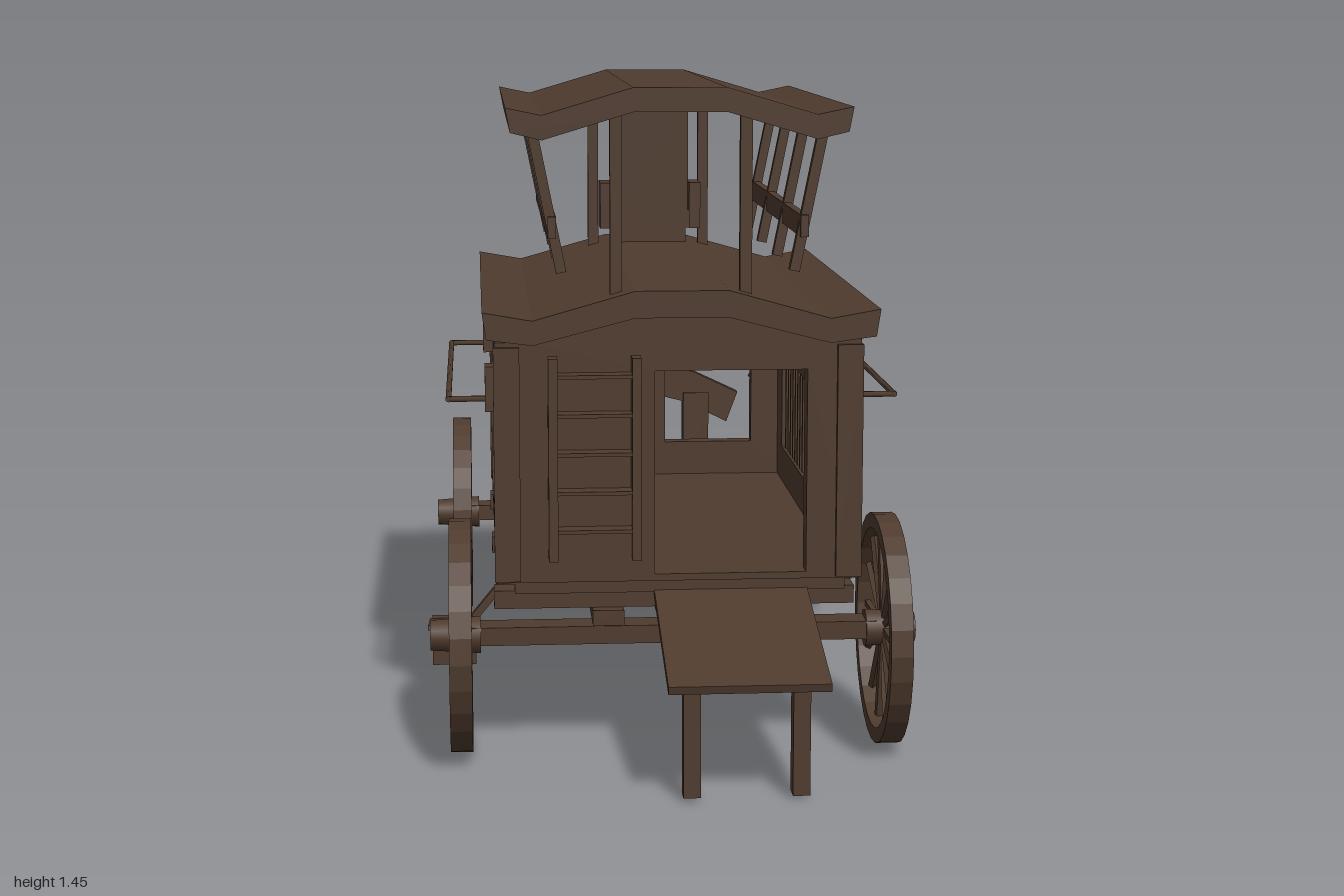
import * as THREE from 'three';

export function createModel() {
  const wood = new THREE.MeshStandardMaterial({ name: 'darkWood', color: 0x4f3b2e });
  const red = new THREE.MeshStandardMaterial({ name: 'lanternRed', color: 0x5a2d38 });
  const root = new THREE.Group();
  root.name = 'wagon';
  const CX = 0.01; // body centre line

  const add = (name, geo, mat = wood, parent = root) => {
    const m = new THREE.Mesh(geo, mat);
    m.name = name;
    parent.add(m);
    return m;
  };
  // Box from its minimum and maximum corners
  const box = (name, x0, x1, y0, y1, z0, z1, mat = wood) => {
    const m = add(name, new THREE.BoxGeometry(x1 - x0, y1 - y0, z1 - z0), mat);
    m.position.set((x0 + x1) / 2, (y0 + y1) / 2, (z0 + z1) / 2);
    return m;
  };
  // Straight bar between two points; four sides make it square
  const bar = (name, a, b, r, sides = 4, mat = wood, parent = root) => {
    const p = new THREE.Vector3(...a), q = new THREE.Vector3(...b), d = q.clone().sub(p);
    const g = new THREE.CylinderGeometry(r, r, d.length(), sides);
    if (sides === 4) g.rotateY(Math.PI / 4);
    const m = add(name, sides === 4 ? g.toNonIndexed() : g, mat, parent);
    if (sides === 4) m.geometry.computeVertexNormals();
    m.position.copy(p).add(q).multiplyScalar(0.5);
    m.quaternion.setFromUnitVectors(new THREE.Vector3(0, 1, 0), d.normalize());
    return m;
  };
  const poly = pts => new THREE.Shape(pts.map(p => new THREE.Vector2(...p)));
  const rect = (x0, x1, y0, y1) => poly([[x0, y0], [x1, y0], [x1, y1], [x0, y1]]);
  // Extrusion along z from z0 to z1
  const slab = (name, shape, z0, z1, holes = []) => {
    shape.holes.push(...holes);
    const g = new THREE.ExtrudeGeometry(shape, { depth: z1 - z0, bevelEnabled: false, curveSegments: 8 });
    return add(name, g.translate(0, 0, z0));
  };
  // Mirrored arch section: half of the top and half of the underside, from the eave inwards
  const arch = (cx, top, under) => poly([
    ...top.map(([x, y]) => [cx - x, y]), ...[...top].reverse().map(([x, y]) => [cx + x, y]),
    ...under.map(([x, y]) => [cx + x, y]), ...[...under].reverse().map(([x, y]) => [cx - x, y])]);

  // Roofs
  slab('lowerRoof', arch(0.016, [[0.427, 0.977], [0.32, 0.958], [0.1, 1.02]],
    [[0.418, 0.918], [0.32, 0.905], [0.1, 0.962]]), -0.6, 0.627);
  slab('upperRoof', arch(0.015, [[0.372, 1.406], [0.295, 1.39], [0.1, 1.448]],
    [[0.362, 1.353], [0.295, 1.337], [0.1, 1.396]]), -0.54, 0.578);

  // End walls with doorway and rear windows
  const endWall = () => poly([[CX - 0.395, 0.385], [CX + 0.395, 0.385], [CX + 0.395, 0.91],
    [CX + 0.32, 0.91], [CX + 0.1, 0.965], [CX - 0.1, 0.965], [CX - 0.32, 0.91], [CX - 0.395, 0.91]]);
  slab('frontWall', endWall(), 0.56, 0.61, [rect(-0.042, 0.288, 0.4, 0.846)]);
  const window = (x0, x1) => {
    const s = new THREE.Shape();
    s.moveTo(x0, 0.485).lineTo(x1, 0.485).lineTo(x1, 0.82);
    s.quadraticCurveTo((x0 + x1) / 2, 0.88, x0, 0.82);
    return s;
  };
  slab('backWall', endWall(), -0.54, -0.5, [window(0.065, 0.29), window(-0.26, -0.032)]);
  for (const s of [-1, 1]) {
    const x = CX + s * 0.37;
    box('frontCornerPost', x - 0.028, x + 0.028, 0.39, 0.9, 0.6, 0.622);
    box('backCornerPost', x - 0.028, x + 0.028, 0.39, 0.9, -0.552, -0.53);
  }

  // Side walls, trim, bars and awning rods
  for (const s of [-1, 1]) {
    const side = (name, a, b, y0, y1, z0, z1) =>
      box(name, CX + (s > 0 ? a : -b), CX + (s > 0 ? b : -a), y0, y1, z0, z1);
    const frame = (name, a, b, [y0, y1, z0, z1], [h0, h1, k0, k1]) => {
      side(name, a, b, y0, h0, z0, z1);
      side(name, a, b, h1, y1, z0, z1);
      side(name, a, b, h0, h1, z0, k0);
      side(name, a, b, h0, h1, k1, z1);
    };
    frame('sideWall', 0.35, 0.375, [0.39, 0.92, -0.52, 0.57], [0.488, 0.73, -0.405, 0.425]);
    frame('outerSideTrim', 0.37, 0.395, [0.39, 0.905, -0.54, 0.552], [0.415, 0.885, -0.52, 0.527]);
    frame('innerSideTrim', 0.37, 0.385, [0.43, 0.85, -0.455, 0.48], [0.488, 0.73, -0.405, 0.425]);
    side('signBoard', 0.38, 0.392, 0.73, 0.84, -0.41, 0.425);
    for (let i = 0; i < 18; i++) {
      const z = -0.375 + i * 0.0455;
      side('windowBar', 0.356, 0.37, 0.485, 0.735, z - 0.007, z + 0.007);
    }
    for (const z of [-0.435, 0.46]) side('awningBracket', 0.385, 0.415, 0.74, 0.84, z - 0.028, z + 0.028);
    const X = CX + s * 0.39, E = CX + s * 0.495;
    bar('awningArm', [X, 0.762, -0.43], [E, 0.762, -0.43], 0.007, 6);
    bar('awningArm', [X, 0.762, 0.44], [E, 0.762, 0.44], 0.007, 6);
    bar('awningRod', [E, 0.762, -0.435], [E, 0.762, 0.445], 0.007, 6);
  }

  // Floor and chassis
  box('floor', -0.37, 0.39, 0.38, 0.4, -0.53, 0.6);
  box('floorFrame', -0.345, 0.375, 0.358, 0.38, -0.53, 0.6);
  for (const z of [0.54, 0, -0.5]) box('crossBeam', -0.39, 0.4, 0.318, 0.358, z - 0.03, z + 0.03);
  for (const x of [-0.142, 0.145]) {
    box('chassisBeam', x - 0.034, x + 0.034, 0.284, 0.318, -0.77, 0.6);
    box('rearBeam', x - 0.034, x + 0.034, 0.318, 0.358, -0.79, -0.48);
  }
  box('reachPole', -0.03, 0.05, 0.284, 0.316, -0.77, 0.56);

  // Axles and wheels
  const rim = [[0.222, -0.024], [0.255, -0.024], [0.255, 0.024], [0.222, 0.024], [0.222, -0.024]];
  for (const z of [0.545, -0.745]) {
    box('axle', -0.44, 0.45, 0.238, 0.278, z - 0.035, z + 0.035);
    for (const s of [-1, 1]) {
      const wheel = new THREE.Group();
      wheel.name = 'wheel';
      const g = new THREE.LatheGeometry(rim.map(p => new THREE.Vector2(...p)), 28).toNonIndexed();
      g.computeVertexNormals();
      add('wheelRim', g, wood, wheel);
      add('wheelHub', new THREE.CylinderGeometry(0.034, 0.042, 0.11, 12), wood, wheel).position.y = 0.012;
      for (let i = 0; i < 14; i++) {
        const a = (i + 0.5) * Math.PI / 7, c = Math.cos(a), d = Math.sin(a);
        bar('spoke', [c * 0.03, 0, d * 0.03], [c * 0.23, 0, d * 0.23], 0.009, 4, wood, wheel);
      }
      wheel.rotation.z = -s * Math.PI / 2;
      wheel.position.set(0.004 + s * 0.467, 0.255, z);
      root.add(wheel);
    }
  }
  // Brake on the one side
  box('brakeShoe', -0.53, -0.43, 0.12, 0.23, 0.27, 0.3);
  bar('brakeRod', [-0.53, 0.22, 0.28], [-0.53, 0.26, 0.5], 0.008);
  bar('brakeArm', [-0.44, 0.22, 0.28], [-0.35, 0.33, 0.28], 0.012);

  // Ramp with two legs
  const ramp = add('ramp', new THREE.BoxGeometry(0.335, 0.018, 0.425));
  ramp.position.set(0.125, 0.303, 0.79);
  ramp.rotation.x = Math.atan2(0.105, 0.4);
  for (const x of [0.01, 0.237]) box('rampLeg', x - 0.018, x + 0.018, 0.008, 0.262, 0.912, 0.954);

  // Ladder
  for (const x of [-0.262, -0.083]) box('ladderRail', x - 0.01, x + 0.01, 0.44, 0.88, 0.61, 0.655);
  for (let i = 0; i < 5; i++) box('ladderStep', -0.255, -0.09, 0.5 + i * 0.084, 0.508 + i * 0.084, 0.61, 0.652);

  // Upper deck posts and rails
  for (const s of [-1, 1]) {
    const at = y => 0.018 + s * (0.255 + (y - 1.045) * 0.2);
    for (const z of [0.48, 0.17, -0.14, -0.45])
      bar('slantedPost', [at(1.045), 1.045, z], [at(1.35), 1.35, z], 0.016);
    box('deckRail', at(1.145) - 0.009, at(1.145) + 0.009, 1.12, 1.168, -0.477, 0.504);
    for (const z of [0.555, -0.465])
      box('uprightPost', 0.018 + s * 0.14 - 0.013, 0.018 + s * 0.14 + 0.013, 0.99, 1.4, z - 0.01, z + 0.01);
  }

  // Driver's seat and footboard
  box('seatBack', -0.073, 0.115, 1.07, 1.365, -0.43, -0.4);
  box('seatCushion', -0.08, 0.122, 1.055, 1.1, -0.555, -0.4);
  box('seatBase', -0.07, 0.11, 1.0, 1.06, -0.48, -0.4);
  for (const x of [-0.093, 0.132]) box('armRest', x - 0.014, x + 0.014, 1.055, 1.17, -0.48, -0.39);
  box('footBoardFoot', -0.053, 0.085, 0.93, 0.945, -0.69, -0.58);
  const foot = add('footBoard', new THREE.BoxGeometry(0.138, 0.016, 0.14));
  foot.position.set(0.016, 0.985, -0.727);
  foot.rotation.x = Math.atan2(0.1, 0.095);

  // Curved bolster over the rear axle and the half ring hitch
  const bow = arch(0.01, [[0.27, 0.575], [0.15, 0.632], [0.06, 0.655]], [[0.24, 0.495], [0.13, 0.55], [0.05, 0.57]]);
  slab('bolsterBow', bow, -0.775, -0.74);
  for (const s of [-1, 1]) {
    const x = CX + s * 0.157;
    box('bolsterPost', x - 0.034, x + 0.034, 0.26, 0.575, -0.785, -0.735);
  }
  const ring = new THREE.Shape();
  ring.moveTo(0.175, 0).absellipse(0, 0, 0.175, 0.175, 0, Math.PI, false);
  ring.lineTo(-0.13, 0).absellipse(0, 0, 0.13, 0.135, Math.PI, 0, true);
  const hitch = slab('hitchRing', ring, 0, 0.03);
  hitch.rotation.x = -Math.PI / 2;
  hitch.position.set(0.006, 0.322, -0.785);

  // Hanging lantern
  const L = [0.33, -0.602];
  bar('lanternArm', [L[0], 0.832, -0.53], [L[0], 0.832, -0.625], 0.01);
  const disc = (name, r0, r1, h, y, mat) =>
    add(name, new THREE.CylinderGeometry(r0, r1, h, 8), mat).position.set(L[0], y, L[1]);
  disc('lanternBase', 0.026, 0.038, 0.022, 0.651, red);
  disc('lanternBurner', 0.012, 0.016, 0.03, 0.675, red);
  disc('lanternCollar', 0.04, 0.04, 0.008, 0.742, red);
  disc('lanternCap', 0.01, 0.03, 0.022, 0.783, red);
  bar('lanternHook', [L[0], 0.79, L[1]], [L[0], 0.83, L[1]], 0.005, 6, red);
  for (let i = 0; i < 6; i++) {
    const c = Math.cos(i * Math.PI / 3), d = Math.sin(i * Math.PI / 3);
    const p = (r, y) => [L[0] + c * r, y, L[1] + d * r];
    bar('lanternBar', p(0.028, 0.655), p(0.038, 0.742), 0.004, 4, red);
    bar('lanternTopBar', p(0.038, 0.742), p(0.022, 0.78), 0.004, 4, red);
  }
  return root;
}
